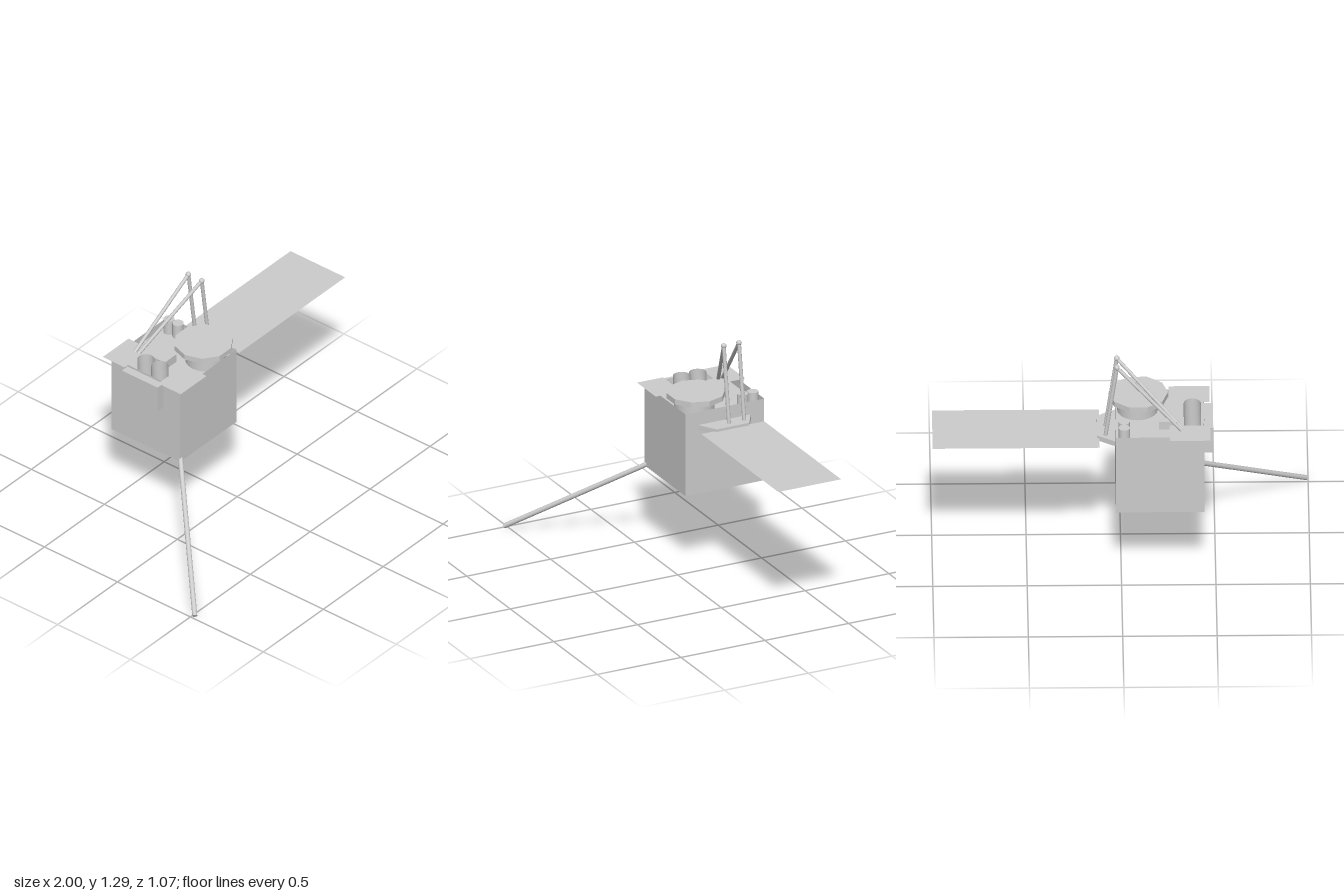
import * as THREE from 'three';

const grey = new THREE.MeshStandardMaterial({ color: 0xcccccc });
const flat = new THREE.MeshStandardMaterial({ color: 0xcccccc, flatShading: true });
const thin = new THREE.MeshStandardMaterial({ color: 0xcccccc, side: THREE.DoubleSide });

export function createModel() {
  const root = new THREE.Group();

  const add = (name, geometry, material, x = 0, y = 0, z = 0) => {
    const mesh = new THREE.Mesh(geometry, material);
    mesh.name = name;
    mesh.position.set(x, y, z);
    root.add(mesh);
    return mesh;
  };
  const sheet = (name, w, d, x, y, z) =>
    add(name, new THREE.PlaneGeometry(w, d).rotateX(-Math.PI / 2), thin, x, y, z);
  const drum = (name, r, y0, y1, x, z, sides, material = grey, open = false) =>
    add(name, new THREE.CylinderGeometry(r, r, y1 - y0, sides, 1, open).rotateY(Math.PI / 2),
      material, x, (y0 + y1) / 2, z);
  const rod = (name, a, b, r) => {
    const from = new THREE.Vector3(...a), to = new THREE.Vector3(...b);
    const dir = to.clone().sub(from);
    const mesh = add(name, new THREE.CylinderGeometry(r, r, dir.length(), 12), grey);
    mesh.position.copy(from).add(to).multiplyScalar(0.5);
    mesh.quaternion.setFromUnitVectors(new THREE.Vector3(0, 1, 0), dir.normalize());
  };

  // Cubic body: solid up to the deck, with thin walls rising around it
  const size = 0.47, cx = -0.205, cz = -0.265, base = 0.46, deck = 0.88, rim = 0.93;
  add('body', new THREE.BoxGeometry(size, deck - base, size), grey, cx, (base + deck) / 2, cz);
  for (let i = 0; i < 4; i++) {
    const a = i * Math.PI / 2;
    const wall = add('bodyWall', new THREE.PlaneGeometry(size, rim - deck), thin,
      cx + Math.sin(a) * size / 2, (deck + rim) / 2, cz + Math.cos(a) * size / 2);
    wall.rotation.y = a;
  }

  // Side equipment box and small deck box
  add('sideBox', new THREE.BoxGeometry(0.05, 0.155, 0.245), grey, -0.462, 0.84, -0.268);
  add('deckBox', new THREE.BoxGeometry(0.1, 0.05, 0.095), grey, -0.25, 0.904, -0.298);

  // Thin radiator plates over two corners
  sheet('frontRadiator', 0.215, 0.155, -0.363, rim + 0.001, -0.078);
  sheet('backRadiator', 0.215, 0.15, -0.363, rim + 0.001, -0.46);

  // Dish on its pedestal
  drum('dishPedestal', 0.109, deck, 0.966, -0.088, -0.143, 20);
  drum('dish', 0.158, 0.965, 0.995, -0.092, -0.155, 10, flat);

  // Open cups and small capped cylinders on the deck
  for (const z of [-0.22, -0.315]) drum('sensorCup', 0.046, deck, 0.965, -0.378, z, 20, thin, true);
  for (const z of [-0.394, -0.455]) drum('thruster', 0.03, deck, 0.965, -0.015, z, 20);

  // Tapered yoke carrying the solar panel
  const yoke = new THREE.Shape([[0.03, 0.105], [0.128, 0.165], [0.128, 0.36], [0.03, 0.42]]
    .map(([x, y]) => new THREE.Vector2(x, y)));
  add('panelYoke', new THREE.ExtrudeGeometry(yoke, { depth: 0.03, bevelEnabled: false })
    .rotateX(-Math.PI / 2), grey, 0, 0.825, 0);
  sheet('solarPanel', 0.885, 0.375, 0.5575, 0.84, -0.268);

  // Pair of two-legged masts with ball tips
  for (const [z, footZ] of [[-0.262, -0.41], [-0.353, -0.435]]) {
    const tip = [0.023, 1.278, z];
    rod('mastLeg', [0.085, 0.84, z], tip, 0.0105);
    rod('mastBrace', [-0.325, 0.928, footZ], tip, 0.01);
    add('mastTip', new THREE.SphereGeometry(0.015, 14, 10), grey, ...tip);
  }

  // Long boom from the lower front corner
  rod('boom', [-0.99, 0.013, 0.522], [-0.42, 0.478, -0.045], 0.0135);

  return root;
}
